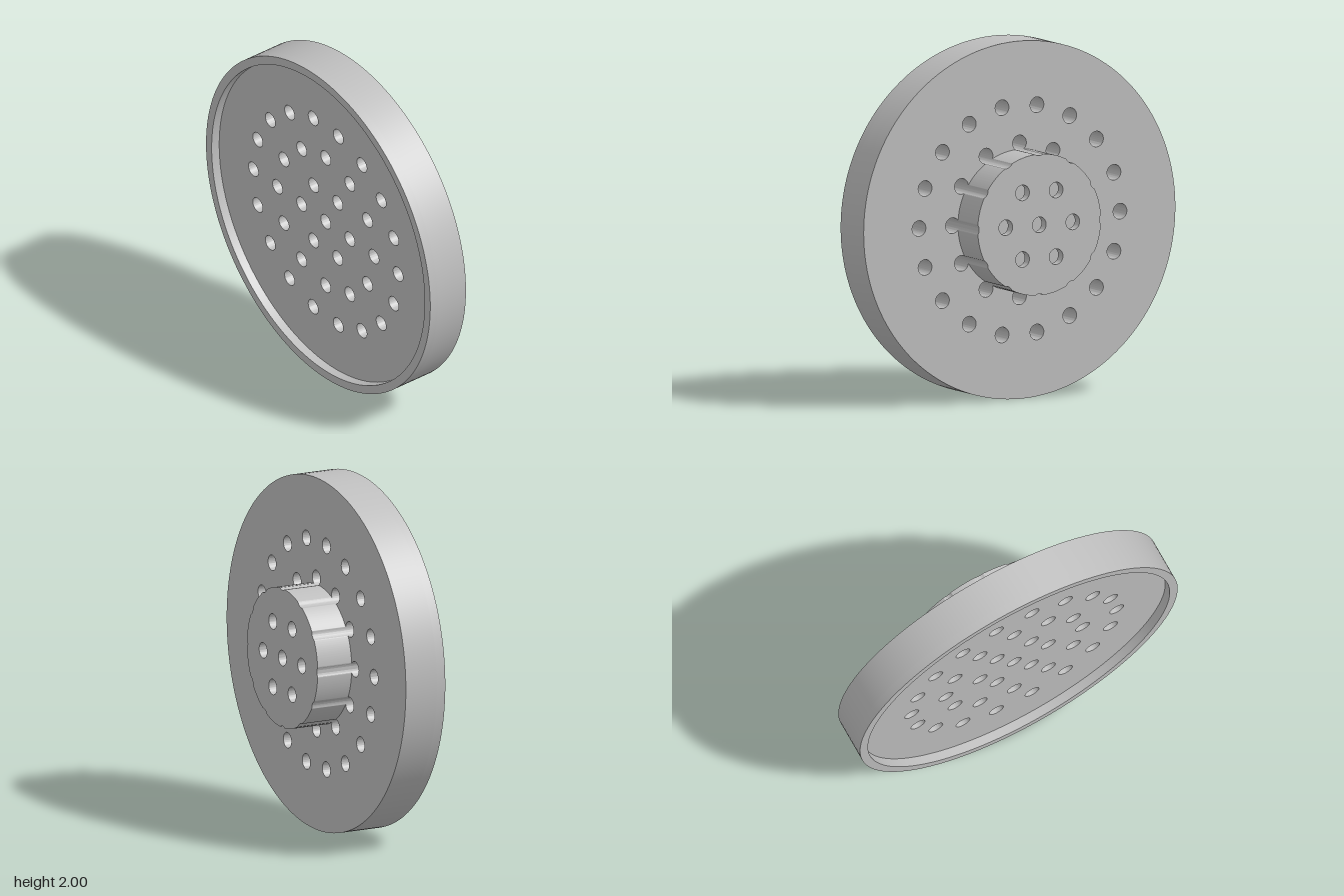
import * as THREE from 'three';
import { toCreasedNormals } from 'three/addons/utils/BufferGeometryUtils.js';

const HOLE_R = 0.044, RING_STEP = 0.215;
const HUB_R = 0.395, CAVITY_R = 0.383;
const Z_HUB = -0.234, Z_CAVITY = -0.182, Z_BACK = -0.018, Z_FLOOR = 0.18, Z_FRONT = 0.233;

function circle(x, y, r, Type = THREE.Path) {
  const path = new Type();
  path.absarc(x, y, r, 0, Math.PI * 2, false);
  return path;
}

// Centre hole plus concentric rings of 6, 12, 18... holes
function addHoles(shape, rings) {
  shape.holes.push(circle(0, 0, HOLE_R));
  for (let ring = 1; ring <= rings; ring++) {
    for (let i = 0; i < ring * 6; i++) {
      const t = (i / (ring * 6)) * Math.PI * 2;
      shape.holes.push(circle(Math.cos(t) * RING_STEP * ring, Math.sin(t) * RING_STEP * ring, HOLE_R));
    }
  }
  return shape;
}

// Hub outline: a circle notched by the second ring of holes
function hubShape() {
  const shape = new THREE.Shape(), c = RING_STEP * 2;
  const a = Math.acos((HUB_R ** 2 + c ** 2 - HOLE_R ** 2) / (2 * HUB_R * c));
  const b = Math.atan2(HUB_R * Math.sin(a), c - HUB_R * Math.cos(a));
  const step = Math.PI / 6;
  for (let i = 0; i < 12; i++) {
    const t = i * step, next = t + step;
    shape.absarc(0, 0, HUB_R, t + a, next - a, false);
    shape.absarc(c * Math.cos(next), c * Math.sin(next), HOLE_R, next + Math.PI + b, next + Math.PI - b, true);
  }
  return shape;
}

export function createModel() {
  const grey = new THREE.MeshStandardMaterial({ color: 0xbfbfbf });
  grey.name = 'grey';
  const group = new THREE.Group();
  group.name = 'perforatedDisc';

  function addSlab(name, shape, z0, z1, curveSegments) {
    const geometry = new THREE.ExtrudeGeometry(shape, { depth: z1 - z0, bevelEnabled: false, curveSegments });
    const mesh = new THREE.Mesh(toCreasedNormals(geometry, 0.6), grey);
    mesh.name = name;
    mesh.position.set(0, 1, z0);
    group.add(mesh);
  }

  // Main plate with 37 through holes
  addSlab('plate', addHoles(circle(0, 0, 1, THREE.Shape), 3), Z_BACK, Z_FLOOR, 80);

  // Raised front rim
  const rim = circle(0, 0, 1, THREE.Shape);
  rim.holes.push(circle(0, 0, 0.95));
  addSlab('frontRim', rim, Z_FLOOR, Z_FRONT, 80);

  // Hollow rear hub: thin wall closed by a perforated cap
  const wall = hubShape();
  wall.holes.push(circle(0, 0, CAVITY_R));
  addSlab('hubWall', wall, Z_CAVITY, Z_BACK, 24);
  addSlab('hubCap', addHoles(hubShape(), 1), Z_HUB, Z_CAVITY, 24);

  return group;
}
